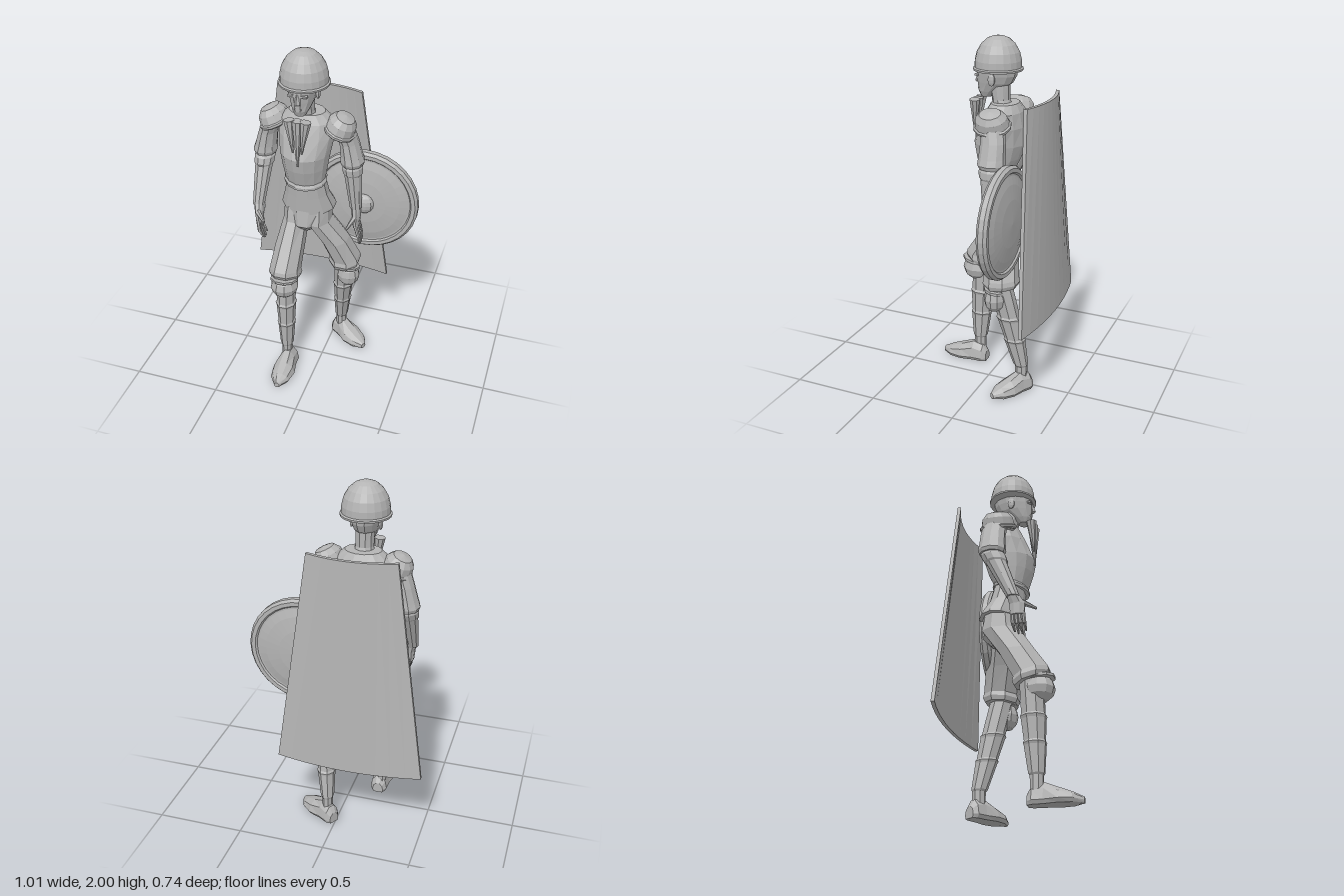
import * as THREE from 'three';

const CX = -0.1; // centre line of the body
const steel = new THREE.MeshStandardMaterial({ color: 0xb4b4b4 });
steel.name = 'steel grey';

const V = (a) => new THREE.Vector3(...a);

// Faceted mesh with one normal per face
function part(parent, name, geo) {
  const g = geo.index ? geo.toNonIndexed() : geo;
  g.computeVertexNormals();
  const mesh = new THREE.Mesh(g, steel);
  mesh.name = name;
  parent.add(mesh);
  return mesh;
}

// Closed skin over rings listed upwards: [x, y, z, radiusX, radiusZ, frontLift]
function loft(rings, n = 10) {
  const pos = [], idx = [];
  rings.forEach(([x, y, z, rx, rz, lift = 0]) => {
    for (let i = 0; i < n; i++) {
      const a = (i + 0.5) / n * Math.PI * 2;
      pos.push(x + rx * Math.sin(a), y + lift * Math.cos(a), z + rz * Math.cos(a));
    }
  });
  const last = (rings.length - 1) * n, base = rings.length * n;
  pos.push(...rings[0].slice(0, 3), ...rings[rings.length - 1].slice(0, 3));
  for (let i = 0; i < n; i++) {
    const k = (i + 1) % n;
    for (let j = 0; j < last; j += n) idx.push(j + i, j + k, j + n + k, j + i, j + n + k, j + n + i);
    idx.push(base, k, i, base + 1, last + i, last + k);
  }
  const g = new THREE.BufferGeometry();
  g.setAttribute('position', new THREE.Float32BufferAttribute(pos, 3));
  g.setIndex(idx);
  return g;
}

// Tapered rod from p to q
function rod(p, q, r0, r1, n = 6) {
  const a = V(p), b = V(q), d = b.clone().sub(a);
  const g = new THREE.CylinderGeometry(r1, r0, d.length(), n);
  g.applyQuaternion(new THREE.Quaternion().setFromUnitVectors(V([0, 1, 0]), d.normalize()));
  return g.translate(...a.add(b).multiplyScalar(0.5).toArray());
}

const lathe = (pts, n) => new THREE.LatheGeometry(pts.map((p) => new THREE.Vector2(...p)), n);
const ball = (c, r, w = 10, h = 8) => new THREE.SphereGeometry(1, w, h).scale(...r).translate(...c);

function buildHead(root) {
  const head = new THREE.Group();
  head.name = 'head';
  root.add(head);
  part(head, 'neck', loft([[CX, 1.58, -0.05, 0.065, 0.06], [CX, 1.66, -0.03, 0.05, 0.05], [CX, 1.76, -0.02, 0.052, 0.06]]));
  part(head, 'face', loft([
    [CX, 1.67, 0.055, 0.03, 0.03], [CX, 1.7, 0.04, 0.046, 0.06], [CX, 1.75, 0.005, 0.066, 0.1],
    [CX, 1.79, -0.005, 0.076, 0.112], [CX, 1.84, -0.01, 0.085, 0.115]], 12));
  part(head, 'nose', rod([CX, 1.745, 0.108], [CX, 1.8, 0.1], 0.016, 0.006, 4));
  part(head, 'mouth', new THREE.BoxGeometry(0.04, 0.008, 0.02).translate(CX, 1.715, 0.088));
  for (const s of [-1, 1]) {
    part(head, 'ear', ball([CX + s * 0.077, 1.775, -0.005], [0.012, 0.035, 0.022], 6, 6));
    part(head, 'brow', new THREE.BoxGeometry(0.04, 0.01, 0.02).translate(CX + s * 0.032, 1.79, 0.094));
  }
  part(head, 'helmet', lathe([[0, 1.83], [0.122, 1.815], [0.135, 1.818], [0.136, 1.828], [0.127, 1.834], [0.126, 1.87],
    [0.115, 1.915], [0.092, 1.955], [0.06, 1.984], [0.03, 1.996], [0, 2]], 20)).position.set(CX, 0, -0.012);
}

function buildTorso(root) {
  const torso = new THREE.Group();
  torso.name = 'torso';
  root.add(torso);
  part(torso, 'pelvis', loft([[CX, 0.91, -0.06, 0.045, 0.07], [CX, 0.96, -0.06, 0.1, 0.12], [CX, 1.08, -0.065, 0.14, 0.11]], 12));
  part(torso, 'tunic skirt', loft([
    [CX, 1.055, -0.075, 0.155, 0.122, -0.012], [CX, 1.07, -0.072, 0.152, 0.12, -0.01],
    [CX, 1.15, -0.045, 0.125, 0.1], [CX, 1.26, -0.025, 0.106, 0.09]], 12));
  part(torso, 'breastplate', loft([
    [CX, 1.235, -0.02, 0.118, 0.102, -0.018], [CX, 1.25, -0.02, 0.12, 0.104, -0.018], [CX, 1.265, -0.02, 0.112, 0.096, -0.018],
    [CX, 1.34, -0.02, 0.125, 0.125], [CX, 1.42, -0.025, 0.138, 0.145], [CX, 1.52, -0.045, 0.155, 0.125],
    [CX, 1.6, -0.055, 0.15, 0.1], [CX, 1.645, -0.055, 0.1, 0.075]], 14));
  // Three hanging tusks under the chin
  for (const [i, low] of [[-1, 1.47], [0, 1.39], [1, 1.47]])
    part(torso, 'collar tusk', rod([CX + i * 0.024, low, 0.116], [CX + i * 0.046, 1.655, 0.106], 0.005, 0.03, 8));
  // Shoulder plates with a raised rim
  for (const s of [-1, 1]) {
    const pad = new THREE.Group();
    pad.name = 'shoulderPlate';
    pad.position.set(CX + s * 0.18, 1.56, -0.055);
    pad.rotation.z = -s * 0.42;
    torso.add(pad);
    part(pad, 'shoulder dome', lathe([[0, 0], [0.088, -0.022], [0.096, -0.015], [0.097, -0.002], [0.088, 0.004],
      [0.08, 0.045], [0.055, 0.075], [0, 0.088]], 12).scale(0.95, 1, 1.08));
  }
}

// Elbow, wrist: [x, z]; fingers run from knuckle to tip, spread along z
function buildArm(root, name, s, elbow, wrist, palm, tip, thumb) {
  const arm = new THREE.Group();
  arm.name = name;
  root.add(arm);
  const [ex, ez] = elbow, [wx, wz] = wrist;
  const at = (y) => {
    const t = (y - 1.08) / 0.27;
    return [wx + (ex - wx) * t, y, wz + (ez - wz) * t];
  };
  part(arm, 'sleeve', loft([
    [ex, 1.345, ez, 0.06, 0.07], [ex, 1.365, ez, 0.067, 0.078], [ex - s * 0.005, 1.4, ez, 0.06, 0.074],
    [ex - s * 0.02, 1.48, ez, 0.052, 0.07], [CX + s * 0.19, 1.59, -0.06, 0.055, 0.068]]));
  part(arm, 'forearm', loft([
    [...at(1.07), 0.034, 0.037], [...at(1.1), 0.036, 0.04], [...at(1.2), 0.044, 0.05],
    [...at(1.285), 0.05, 0.058], [...at(1.295), 0.056, 0.066], [...at(1.33), 0.058, 0.07], [...at(1.36), 0.045, 0.055]]));
  const [px, py, pz] = palm, [tx, ty, tz] = tip;
  part(arm, 'palm', loft([
    [px, py - 0.05, pz, 0.017, 0.04], [px, py + 0.01, pz, 0.023, 0.045], [wx, 1.09, wz, 0.03, 0.033]], 8));
  for (let i = 0; i < 4; i++) {
    const k = i - 1.5, drop = Math.abs(k) * 0.015;
    const mid = [(px + tx) / 2 + s * 0.008, (py - 0.04 + ty) / 2, (pz + tz) / 2 + k * 0.021];
    part(arm, 'finger base', rod([px, py - 0.03, pz + k * 0.02], mid, 0.011, 0.01));
    part(arm, 'finger tip', rod(mid, [tx, ty + drop, tz + k * 0.02], 0.01, 0.005));
  }
  part(arm, 'thumb', rod([px, py + 0.02, pz + 0.025], thumb, 0.017, 0.007));
}

function buildLeg(root, name, hip, hem, hemLift, knee, kneeR, ankle, heel, turn) {
  const leg = new THREE.Group();
  leg.name = name;
  root.add(leg);
  const [hx, hz] = hem, [ax, az] = ankle;
  // Breeches flaring into a hem
  part(leg, 'breeches', loft([
    [hx, 0.65, hz, 0.086, 0.094, hemLift], [hx, 0.675, hz, 0.094, 0.106, hemLift], [hx, 0.7, hz, 0.088, 0.1, hemLift],
    [hx * 0.6 + hip * 0.4, 0.83, hz * 0.55 - 0.027, 0.083, 0.105], [hip, 0.97, -0.06, 0.07, 0.11], [hip, 1.06, -0.06, 0.065, 0.09]], 8));
  part(leg, 'knee cap', ball(knee, kneeR, 10, 6));
  part(leg, 'knee trim', loft([
    [knee[0], knee[1] + 0.045, knee[2], kneeR[0], kneeR[2], 0.012],
    [knee[0], knee[1] + 0.06, knee[2], kneeR[0], kneeR[2], 0.012]]));
  // Banded greave
  const bands = [[0.07, 0.03, 0.036], [0.15, 0.031, 0.037], [0.16, 0.038, 0.044], [0.305, 0.049, 0.06], [0.318, 0.054, 0.064],
    [0.33, 0.048, 0.058], [0.445, 0.056, 0.068], [0.46, 0.061, 0.073], [0.472, 0.053, 0.065], [0.56, 0.056, 0.066], [0.68, 0.06, 0.066]];
  part(leg, 'greave', loft(bands.map(([y, rx, rz]) => {
    const t = Math.max(0, y - 0.15) / 0.5;
    return [ax + (hx - ax) * t, y, az + (hz - az) * t, rx, rz];
  }), 8));
  // Pointed shoe with a flat sole: [side, length, -height, halfWidth, rise]
  const shoe = loft([[0, 0, -0.02, 0.032, 0.045], [0, 0.025, -0.02, 0.05, 0.085], [0, 0.085, -0.02, 0.052, 0.1],
    [0, 0.16, -0.02, 0.068, 0.068], [0, 0.23, -0.02, 0.056, 0.04], [0, 0.285, -0.015, 0.016, 0.018]], 10).rotateX(Math.PI / 2);
  const p = shoe.attributes.position;
  for (let i = 0; i < p.count; i++) p.setY(i, Math.max(0, p.getY(i)));
  const foot = part(leg, 'shoe', shoe);
  foot.position.set(heel[0], 0, heel[1]);
  foot.rotation.y = turn;
  if (turn) foot.scale.z = 0.94;
}

function buildShield(root) {
  const shield = new THREE.Group();
  shield.name = 'roundShield';
  shield.position.set(0.195, 1.07, -0.174);
  root.add(shield);
  const half = [[0, -0.05], [0.13, -0.043], [0.21, -0.032], [0.255, -0.02], [0.265, -0.02], [0.273, -0.03], [0.295, -0.03], [0.308, -0.014]];
  const all = [...half, ...half.slice().reverse().map(([r, h]) => [r, -h])];
  part(shield, 'shield disc', lathe(all, 32).rotateX(Math.PI / 2));
  part(shield, 'shield grip', ball([0.01, 0, 0.05], [0.055, 0.06, 0.035]));
}

function buildCape(root) {
  // Curved slab widening towards the ground
  const g = new THREE.BoxGeometry(1, 1, 0.02, 10, 1, 1);
  const p = g.attributes.position;
  for (let i = 0; i < p.count; i++) {
    const u = p.getX(i), t = p.getY(i) + 0.5;
    p.setXYZ(i, CX + u * (0.82 - 0.34 * t), 0.46 + 1.22 * t, p.getZ(i) - 0.363 + 0.053 * t + 0.045 * 4 * u * u);
  }
  part(root, 'backPanel', g);
}

export function createModel() {
  const root = new THREE.Group();
  root.name = 'armouredWarrior';
  buildHead(root);
  buildTorso(root);
  buildArm(root, 'rightArm', -1, [-0.348, -0.07], [-0.355, 0.045], [-0.345, 1.02, 0.07], [-0.31, 0.865, 0.08], [-0.285, 1.025, 0.16]);
  buildArm(root, 'leftArm', 1, [0.145, -0.08], [0.168, -0.08], [0.175, 1.0, -0.078], [0.205, 0.83, -0.07], [0.135, 0.95, -0.015]);
  buildLeg(root, 'rightLeg', -0.168, [-0.185, 0.11], 0.025, [-0.178, 0.61, 0.15], [0.08, 0.075, 0.085], [-0.178, 0.132], [-0.165, 0.082], 0);
  buildLeg(root, 'leftLeg', -0.035, [0.1, -0.12], -0.01, [0.13, 0.585, -0.095], [0.067, 0.08, 0.062], [0.055, -0.228], [0.005, -0.265], 1);
  buildShield(root);
  buildCape(root);
  return root;
}
